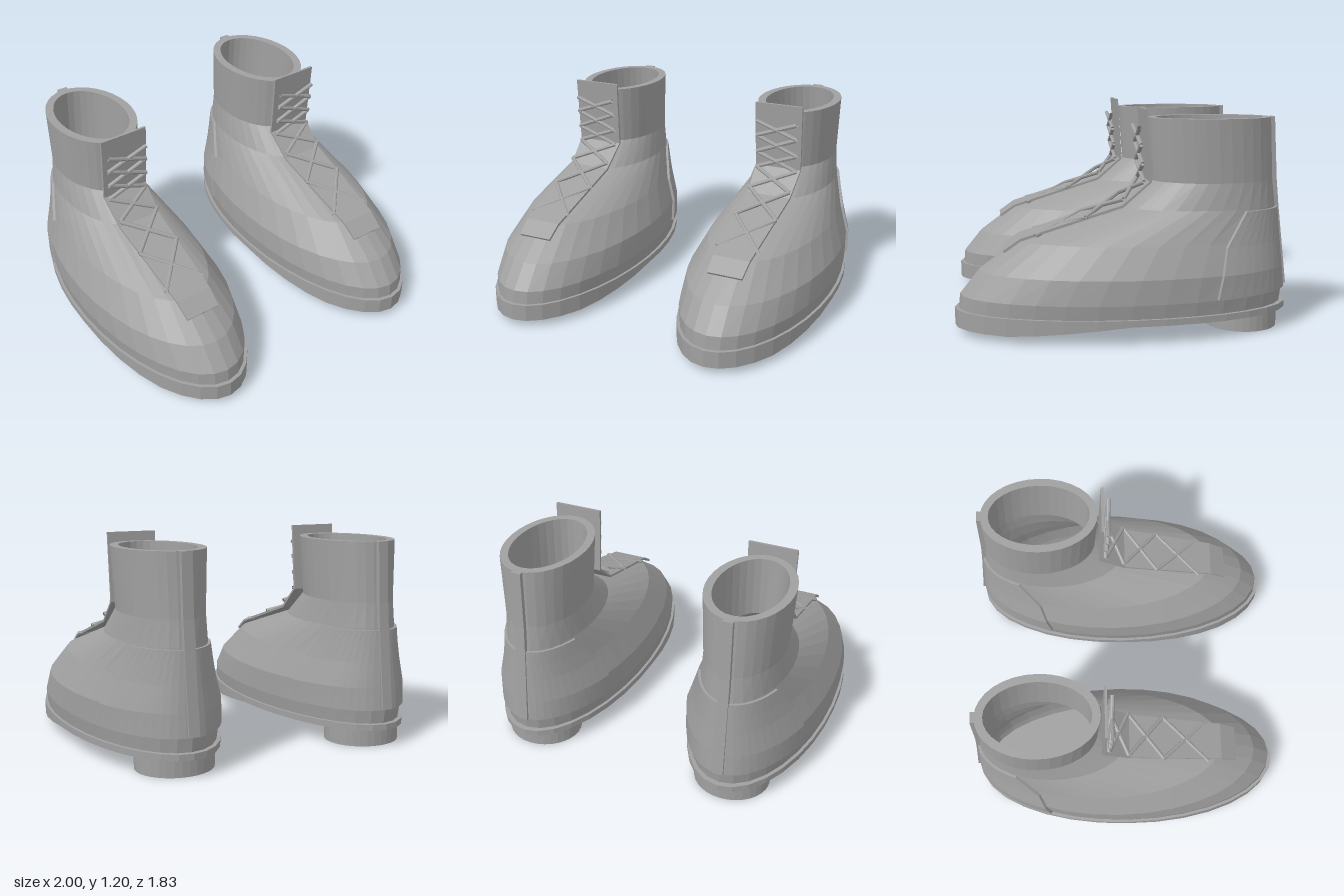
import * as THREE from 'three';

const SEG = 32;
// upper cross-sections: [height, front z, back z, half width]
const SECTIONS = [
  [0.13, 0.893, -0.88, 0.386], [0.21, 0.885, -0.89, 0.398], [0.34, 0.78, -0.878, 0.393],
  [0.5, 0.565, -0.862, 0.325], [0.67, 0.01, -0.845, 0.243], [0.81, -0.16, -0.828, 0.217],
  [1.15, -0.135, -0.812, 0.236],
];

function sectionAt(y) {
  let i = 0;
  while (i < SECTIONS.length - 2 && y > SECTIONS[i + 1][0]) i++;
  const a = SECTIONS[i], b = SECTIONS[i + 1];
  const t = THREE.MathUtils.clamp((y - a[0]) / (b[0] - a[0]), 0, 1);
  const [, front, back, half] = a.map((v, k) => v + (b[k] - v) * t);
  return { c: (front + back) / 2, r: (front - back) / 2, half };
}

function upperPoint(y, angle, offset) {
  const s = sectionAt(y);
  return [(s.half + offset) * Math.cos(angle), y, s.c + (s.r + offset) * Math.sin(angle)];
}

// skin over rows of points, listed from +x towards +z, rows going up
function skin(rows, closed = true) {
  const n = rows[0].length, index = [];
  for (let r = 0; r < rows.length - 1; r++) {
    for (let i = 0; i < (closed ? n : n - 1); i++) {
      const j = (i + 1) % n;
      const a = r * n + i, b = r * n + j, c = a + n, d = b + n;
      index.push(a, c, b, b, c, d);
    }
  }
  const g = new THREE.BufferGeometry();
  g.setAttribute('position', new THREE.Float32BufferAttribute(rows.flat(2), 3));
  g.setIndex(index);
  const flat = g.toNonIndexed();
  flat.computeVertexNormals();
  return flat;
}

const ring = (fn) => Array.from({ length: SEG }, (_, i) => fn((i / SEG) * Math.PI * 2));

// flat strip along a path of [z, y, half width]
function strip(path, thickness) {
  const rows = path.map(([z, y, w], i) => {
    const p = path[Math.max(i - 1, 0)], q = path[Math.min(i + 1, path.length - 1)];
    const n = new THREE.Vector2(q[1] - p[1], p[0] - q[0]).setLength(thickness / 2);
    return [[w, -1], [w, 1], [-w, 1], [-w, -1]].map(([x, s]) => [x, y + s * n.y, z + s * n.x]);
  });
  const end = ([z, y]) => Array(4).fill([0, y, z]);
  return skin([end(path[0]), ...rows, end(path[path.length - 1])]);
}

// hollow upper: outside, rim, inside, floor
function upperGeometry() {
  const outer = SECTIONS.map(([y]) => ring((a) => upperPoint(y, a, 0)));
  const inner = SECTIONS.map(([y], i) =>
    ring((a) => upperPoint(Math.max(y, 0.15), a, i === 6 ? -0.046 : -0.036))).reverse();
  return skin([...outer, ...inner, ring(() => [0, 0.15, 0])]);
}

// sole that thickens towards the toe
function soleGeometry() {
  const rim = (top) => ring((a) => {
    const z = 0.002 + 0.912 * Math.sin(a);
    const low = 0.1 - 0.06 * THREE.MathUtils.clamp(z / 0.62, 0, 1);
    return [0.403 * Math.cos(a), top ? 0.135 : low, z];
  });
  return skin([ring(() => [0, 0.077, 0]), rim(false), rim(true), ring(() => [0, 0.135, 0])]);
}

// curved patch around the back of the foot
function counterGeometry() {
  const levels = [[0.215, -0.455], [0.215, -0.455], [0.34, -0.482], [0.48, -0.51],
    [0.57, -0.57], [0.66, -0.63], [0.66, -0.63]];
  const cols = 22;
  const rows = levels.map(([y, zFront], r) => {
    const s = sectionAt(y), start = Math.asin((zFront - s.c) / s.r);
    return Array.from({ length: cols + 3 }, (_, i) => {
      const t = THREE.MathUtils.clamp((i - 1) / cols, 0, 1);
      const border = r === 0 || r === levels.length - 1 || i === 0 || i === cols + 2;
      return upperPoint(y, -Math.PI - start + (2 * start + Math.PI) * t, border ? -0.005 : 0.014);
    });
  });
  return skin(rows, false);
}

function lace(from, to) {
  const a = new THREE.Vector3(...from), b = new THREE.Vector3(...to);
  return new THREE.TubeGeometry(new THREE.LineCurve3(a, b), 1, 0.012, 8).toNonIndexed();
}

export function createModel() {
  const leather = new THREE.MeshStandardMaterial({ color: 0xa0a0a0 });
  leather.name = 'grey leather';
  leather.flatShading = true;
  leather.side = THREE.DoubleSide;

  const model = new THREE.Group();
  model.name = 'pairOfBoots';
  for (const side of [-1, 1]) {
    const boot = new THREE.Group();
    boot.name = side > 0 ? 'leftBoot' : 'rightBoot';
    boot.position.x = side * 0.597;
    const add = (name, geometry) => {
      const mesh = new THREE.Mesh(geometry, leather);
      mesh.name = name;
      boot.add(mesh);
      return mesh;
    };

    add('upper', upperGeometry());
    add('sole', soleGeometry());
    add('heel', new THREE.CylinderGeometry(0.217, 0.217, 0.11, SEG).scale(1, 1, 0.91)
      .translate(0, 0.055, -0.665));
    add('heelCounter', counterGeometry());

    // tongue over the instep and up the shaft
    add('tongue', strip([[0.65, 0.448, 0.1], [0.56, 0.511, 0.106], [0.015, 0.685, 0.128],
      [-0.132, 0.815, 0.138], [-0.107, 1.2, 0.142]], 0.014));
    // strap down the back seam
    add('backStrap', strip([[-0.902, 0.22, 0.03], [-0.852, 0.66, 0.03],
      [-0.838, 0.81, 0.03], [-0.82, 1.15, 0.03]], 0.025));

    // crossed laces between rows of [z, y]
    const rows = [[0.48, 0.535], [0.215, 0.63], [0.012, 0.725], [-0.098, 0.815],
      [-0.09, 0.91], [-0.082, 1.01], [-0.072, 1.1]];
    for (let i = 0; i < rows.length - 1; i++) {
      const [z0, y0] = rows[i], [z1, y1] = rows[i + 1];
      for (const s of [-1, 1]) {
        add('lace', lace([s * 0.122, y0, z0], [-s * 0.122, y1, z1]));
      }
    }
    model.add(boot);
  }
  return model;
}
